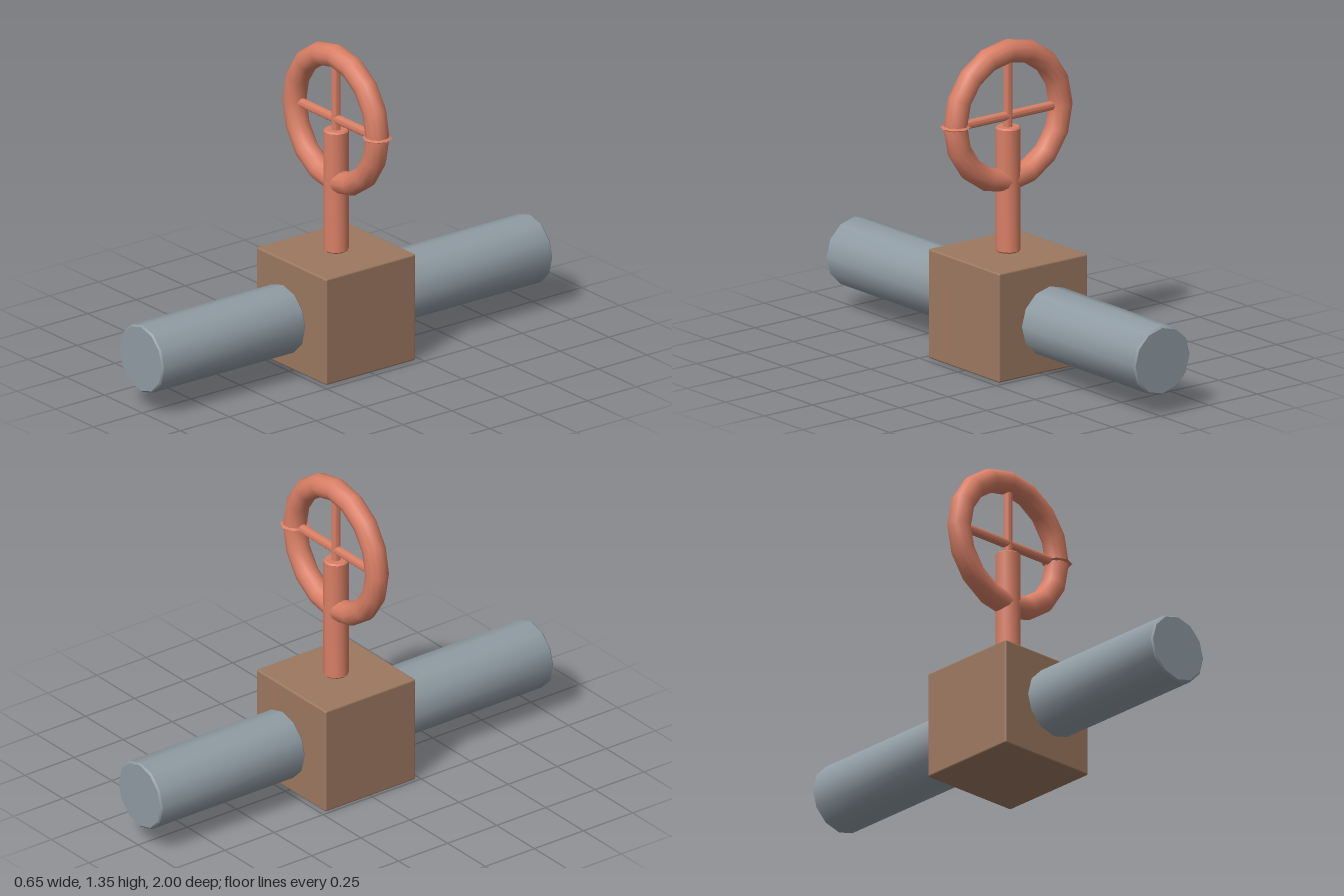
import * as THREE from 'three';
import { RoundedBoxGeometry } from 'three/addons/geometries/RoundedBoxGeometry.js';
import { toCreasedNormals } from 'three/addons/utils/BufferGeometryUtils.js';

const red = new THREE.MeshStandardMaterial({ color: 0xd97f66 });
const brown = new THREE.MeshStandardMaterial({ color: 0x9c7860 });
const steel = new THREE.MeshStandardMaterial({ color: 0x8f9ba3 });

// Solid rod along y, centred, with slightly bevelled rims
function rodGeometry(radius, length, bevel) {
  const h = length / 2;
  const profile = [
    [0, -h], [radius - bevel, -h], [radius, -h + bevel],
    [radius, h - bevel], [radius - bevel, h], [0, h],
  ].map(([x, y]) => new THREE.Vector2(x, y));
  return toCreasedNormals(new THREE.LatheGeometry(profile, 12), 0.7);
}

export function createModel() {
  const model = new THREE.Group();
  model.name = 'pipeValve';

  const add = (name, geometry, material, x, y, z, parent = model) => {
    const mesh = new THREE.Mesh(geometry, material);
    mesh.name = name;
    mesh.position.set(x, y, z);
    parent.add(mesh);
    return mesh;
  };
  const cx = -0.01;

  // Valve body
  add('valveBody', new RoundedBoxGeometry(0.46, 0.46, 0.46, 2, 0.008), brown, cx, 0.232, 0);

  // Pipes in front of and behind the body, with a small gap
  for (const [name, side] of [['frontPipe', 1], ['backPipe', -1]]) {
    const pipe = add(name, rodGeometry(0.145, 0.735, 0.007), steel, cx, 0.233, side * 0.6325);
    pipe.rotation.x = Math.PI / 2;
  }

  // Stem
  add('stem', rodGeometry(0.052, 0.525, 0.006), red, cx, 0.7275, 0);

  // Handwheel: rim, crossed spokes and a thin flared seam on the rim
  const wheel = new THREE.Group();
  wheel.name = 'handwheel';
  wheel.position.set(cx, 1.035, 0);
  model.add(wheel);
  add('rim', new THREE.TorusGeometry(0.272, 0.049, 12, 16), red, 0, 0, 0, wheel);
  const spoke = rodGeometry(0.019, 0.5, 0.003);
  add('verticalSpoke', spoke, red, 0, 0, 0, wheel);
  add('horizontalSpoke', spoke, red, 0, 0, 0, wheel).rotation.z = Math.PI / 2;
  const flare = [[0.046, -0.008], [0.062, 0], [0.046, 0.008]].map(([x, y]) => new THREE.Vector2(x, y));
  add('rimSeam', toCreasedNormals(new THREE.LatheGeometry(flare, 8), 0.9), red, 0.272, 0, 0, wheel);

  return model;
}
